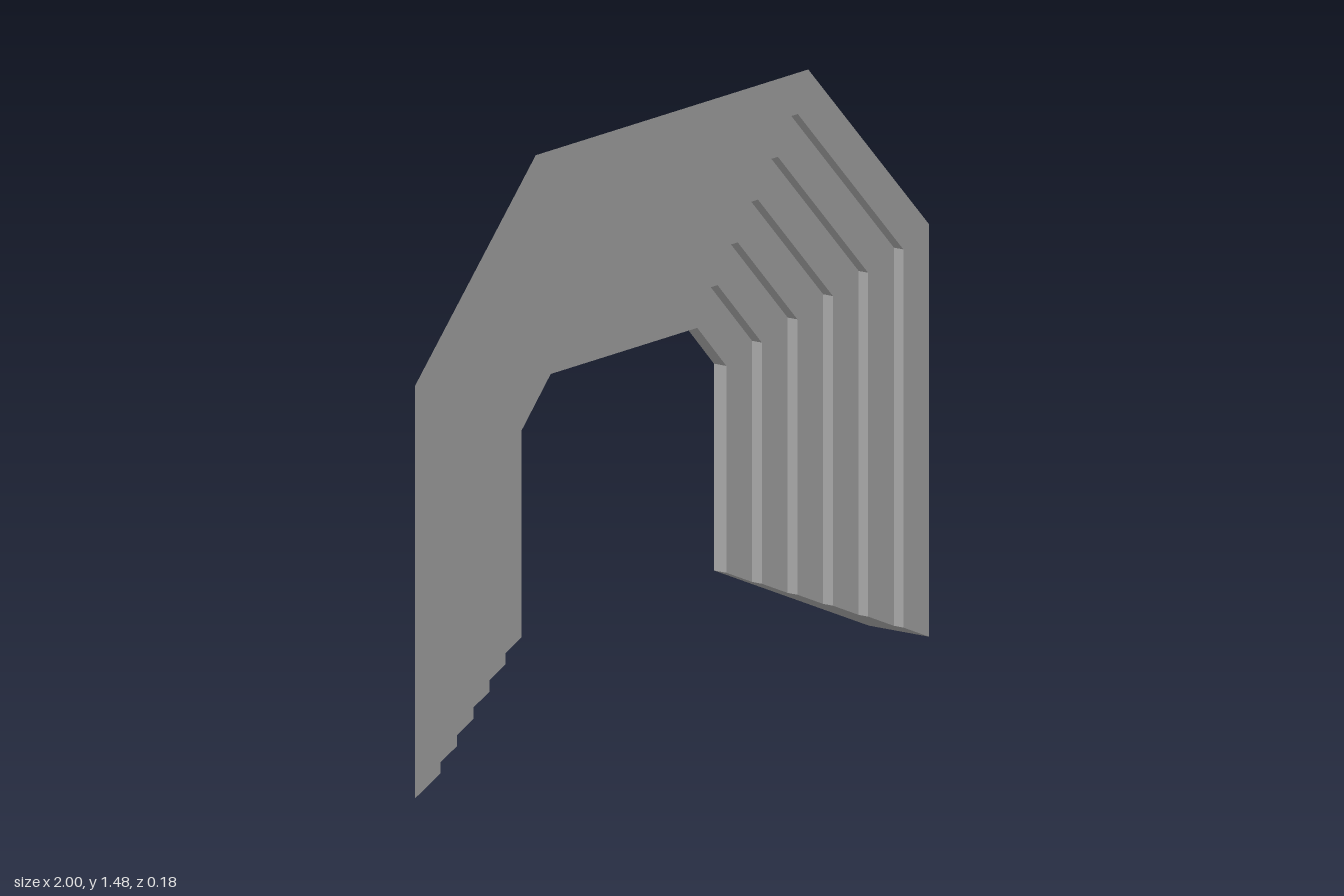
import * as THREE from 'three';

// Half outlines of the outermost and innermost arch edge: foot, shoulder, crown
const OUTER = [[1, 0], [1, 1.005], [0.53, 1.475]];
const INNER = [[0.398, 0.253], [0.398, 0.757], [0.285, 0.872]];
const STEPS = 6;
const DEPTHS = [0.09, 0.062, 0.034, 0.005, -0.024, -0.053, -0.09];

// Arch outline at step i, from the right foot over the crown to the left foot
function outline(i) {
  const half = OUTER.map(([x, y], k) => [
    THREE.MathUtils.lerp(x, INNER[k][0], i / STEPS),
    THREE.MathUtils.lerp(y, INNER[k][1], i / STEPS),
  ]);
  return [...half, ...half.slice().reverse().map(([x, y]) => [-x, y])];
}

// Flat-faced strip between two outlines lying at depths za and zb
function strip(a, za, b, zb) {
  const pos = [];
  for (let k = 0; k < a.length - 1; k++) {
    const p = [...a[k], za], q = [...a[k + 1], za];
    const r = [...b[k + 1], zb], s = [...b[k], zb];
    pos.push(...p, ...q, ...r, ...p, ...r, ...s);
  }
  const geo = new THREE.BufferGeometry();
  geo.setAttribute('position', new THREE.Float32BufferAttribute(pos, 3));
  geo.computeVertexNormals();
  return geo;
}

export function createModel() {
  const model = new THREE.Group();
  model.name = 'steppedArch';
  const stone = new THREE.MeshStandardMaterial({ color: 0xa8a8a8, side: THREE.DoubleSide });
  stone.name = 'greyStone';
  const add = (name, geo) => {
    const mesh = new THREE.Mesh(geo, stone);
    mesh.name = name;
    model.add(mesh);
  };

  for (let i = 0; i < STEPS; i++) {
    const edge = outline(i), next = outline(i + 1);
    // Front face of the step, then the reveal leading back to the next one
    add(`archFace${i + 1}`, strip(edge, DEPTHS[i], next, DEPTHS[i]));
    add(`archReveal${i + 1}`, strip(next, DEPTHS[i], next, DEPTHS[i + 1]));
    // Sloping foot plate behind this step, on one leg only
    const foot = [edge[0], next[0]];
    add(`footPlate${i + 1}`, strip(foot, DEPTHS[i], foot, DEPTHS[STEPS]));
  }
  return model;
}
